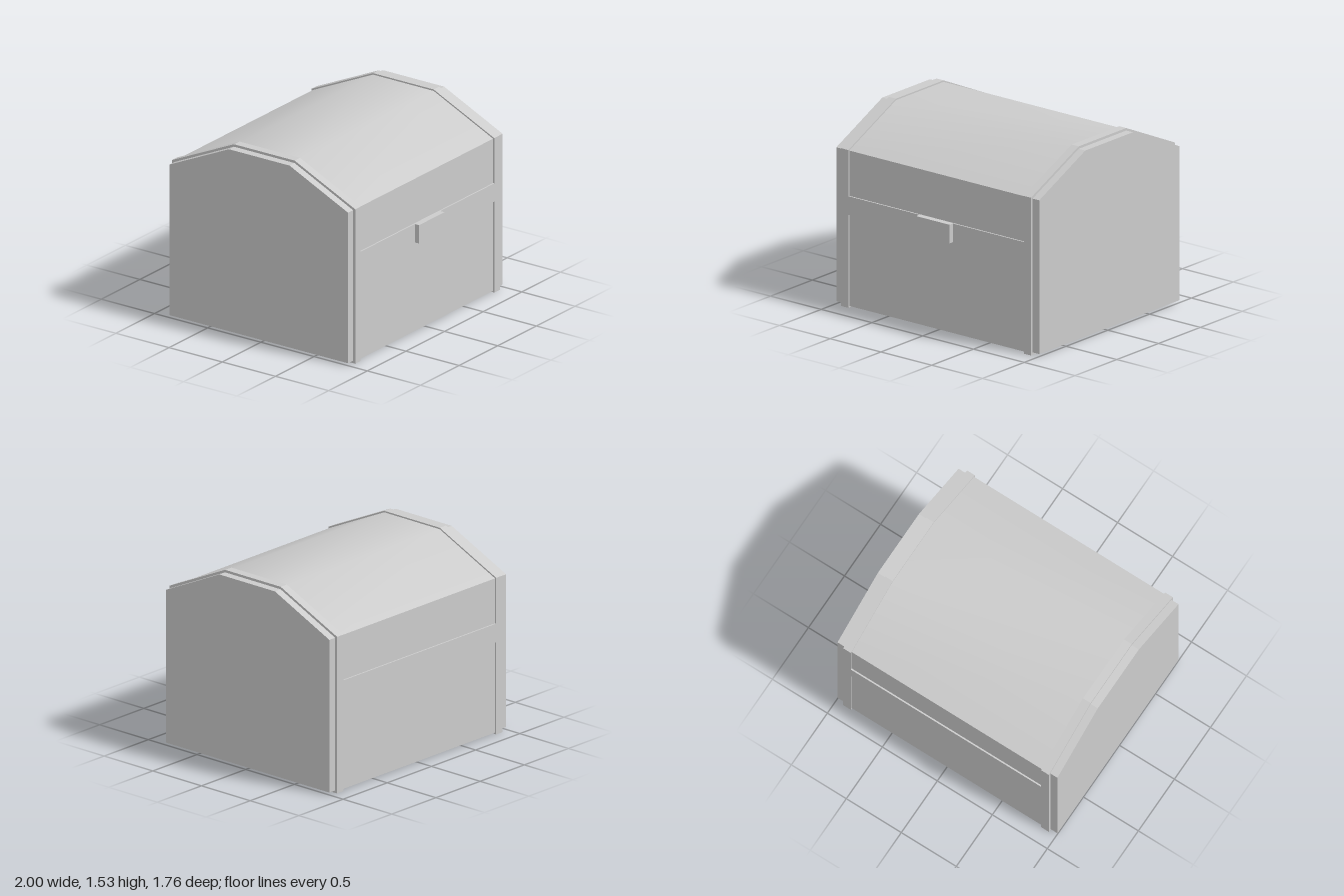
import * as THREE from 'three';
import { toCreasedNormals } from 'three/addons/utils/BufferGeometryUtils.js';

const SEAM = 0.82, FRONT = 0.84, BACK = -0.88;
const material = new THREE.MeshStandardMaterial({ color: 0xcccccc });

// Side outlines as [z, y] points, shrunk by an inset from the outermost bands
const baseProfile = (d) => [
  [BACK + d, d], [FRONT - d, d], [FRONT - d, SEAM], [BACK + d, SEAM],
];
const lidProfile = (d) => [
  [BACK + d, SEAM], [FRONT - d, SEAM], [FRONT - d, 1.265 - d * 0.6],
  [0.27, 1.53 - d], [-0.3, 1.53 - d], [BACK + d, 1.265 - d * 0.6],
];

// Extrude a side outline between two x positions
function slab(points, x0, x1) {
  const shape = new THREE.Shape(points.map(([z, y]) => new THREE.Vector2(z, y)));
  const geometry = new THREE.ExtrudeGeometry(shape, { depth: x1 - x0, bevelEnabled: false });
  return geometry.rotateY(-Math.PI / 2).translate(x1, 0, 0);
}

function box(x0, x1, y0, y1, z0, z1) {
  return new THREE.BoxGeometry(x1 - x0, y1 - y0, z1 - z0)
    .translate((x0 + x1) / 2, (y0 + y1) / 2, (z0 + z1) / 2);
}

function add(parent, name, geometry) {
  const mesh = new THREE.Mesh(geometry, material);
  mesh.name = name;
  parent.add(mesh);
}

// One half of the chest: panels, end walls, bands, rails and its half of the clasp
function buildHalf(name, profile, railBottom, railTop) {
  const half = new THREE.Group();
  half.name = name;

  // Central panels, with the roof ridges shaded smoothly
  add(half, name + 'Panels', toCreasedNormals(slab(profile(0.012), -0.87, 0.87), 0.6));

  for (const [side, s] of [['left', 1], ['right', -1]]) {
    const span = (a, b) => (s > 0 ? [a, b] : [-b, -a]);
    add(half, side + 'Band', slab(profile(0), ...span(0.865, 0.935)));
    add(half, side + 'EndWall', slab(profile(0.02), ...span(0.93, 1)));
  }

  // Rails along the seam
  add(half, 'frontRail', box(-0.866, 0.866, railBottom, railTop, FRONT - 0.04, FRONT));
  add(half, 'backRail', box(-0.866, 0.866, railBottom, railTop, BACK, BACK + 0.04));

  // Clasp plate
  add(half, 'clasp', box(-0.165, 0.165, railBottom, railTop, FRONT - 0.01, 0.88));
  return half;
}

export function createModel() {
  const chest = new THREE.Group();
  chest.name = 'chest';
  chest.add(buildHalf('base', baseProfile, 0.745, SEAM));
  chest.add(buildHalf('lid', lidProfile, SEAM, 0.895));
  return chest;
}
